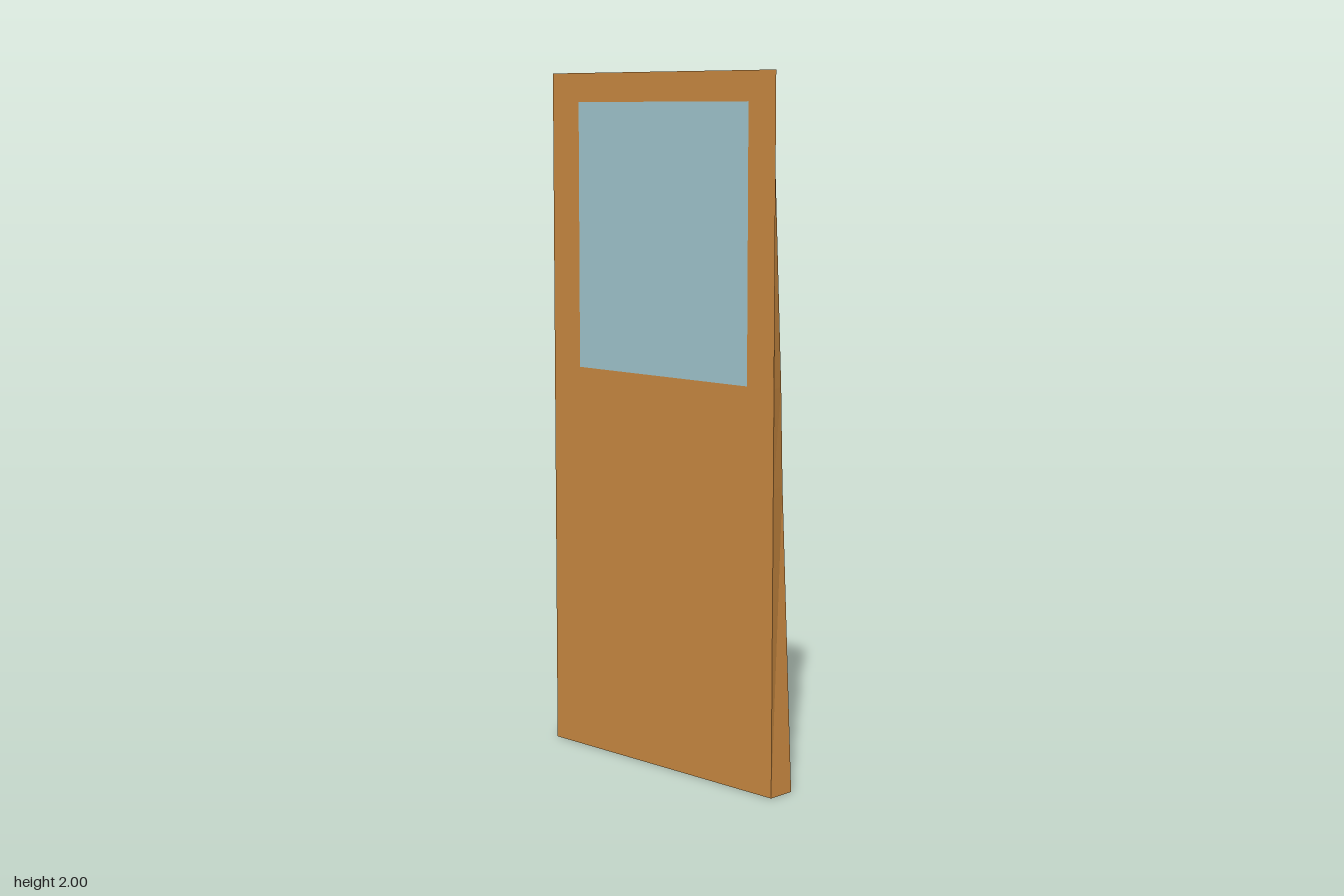
import * as THREE from 'three';

// Outer (+x) side, one row per height: y, x, then z from front edge to rear edge
// (front edge, window front, window rear, rear edge)
const OUTER = [
  [0, 0.042, 0.454, 0.27, -0.33, -0.42],
  [0.87, 0.025, 0.428, 0.265, -0.344, -0.454],
  [1.145, 0.021, 0.424, 0.265, -0.344, -0.453],
  [1.917, -0.002, 0.41, 0.296, -0.333, -0.439],
  [2, -0.005, 0.408, 0.299, -0.332, -0.437],
];
// The inner (-x) side is a flat rectangle with the same rows
const INNER = OUTER.map(([y]) => [y, -0.042, 0.454, 0.355, -0.311, -0.42]);
const WINDOW_ROW = 2, WINDOW_COL = 1;

const point = (row, col) => [row[1], row[0], row[2 + col]];

// Flat-shaded mesh from quads with corners counter-clockwise from outside
function quadMesh(name, quads, color) {
  const positions = quads.flatMap(([a, b, c, d]) => [a, b, c, a, c, d].flat());
  const geometry = new THREE.BufferGeometry();
  geometry.setAttribute('position', new THREE.Float32BufferAttribute(positions, 3));
  geometry.computeVertexNormals();
  const mesh = new THREE.Mesh(geometry, new THREE.MeshStandardMaterial({ color, flatShading: true }));
  mesh.name = name;
  return mesh;
}

// Splits one broad side into panel quads and the window quad
function splitSide(rows, outward) {
  const panel = [], glass = [];
  for (let i = 0; i < rows.length - 1; i++) {
    for (let j = 0; j < 3; j++) {
      const quad = [point(rows[i], j), point(rows[i], j + 1), point(rows[i + 1], j + 1), point(rows[i + 1], j)];
      if (!outward) quad.reverse();
      (i === WINDOW_ROW && j === WINDOW_COL ? glass : panel).push(quad);
    }
  }
  return { panel, glass };
}

export function createModel() {
  const door = new THREE.Group();
  door.name = 'door';
  const orange = 0xc88840, blue = 0x9fc4cc, yellow = 0xc8b840;

  // Broad sides with their windows
  const outer = splitSide(OUTER, true);
  const inner = splitSide(INNER, false);
  door.add(quadMesh('outerPanel', outer.panel, orange));
  door.add(quadMesh('innerPanel', inner.panel, orange));
  door.add(quadMesh('outerWindow', outer.glass, blue));
  door.add(quadMesh('innerWindow', inner.glass, blue));

  // Narrow front and rear edges
  const front = [], rear = [];
  for (let i = 0; i < OUTER.length - 1; i++) {
    const [a, b, c, d] = [INNER[i], OUTER[i], OUTER[i + 1], INNER[i + 1]];
    front.push([a, b, c, d].map((row) => point(row, 0)));
    rear.push([b, a, d, c].map((row) => point(row, 3)));
  }
  door.add(quadMesh('frontEdge', front, orange));
  door.add(quadMesh('rearEdge', rear, orange));

  // Top and bottom edges
  const cap = (k) => [point(INNER[k], 0), point(OUTER[k], 0), point(OUTER[k], 3), point(INNER[k], 3)];
  door.add(quadMesh('topEdge', [cap(OUTER.length - 1)], yellow));
  door.add(quadMesh('bottomEdge', [cap(0).reverse()], orange));

  return door;
}
